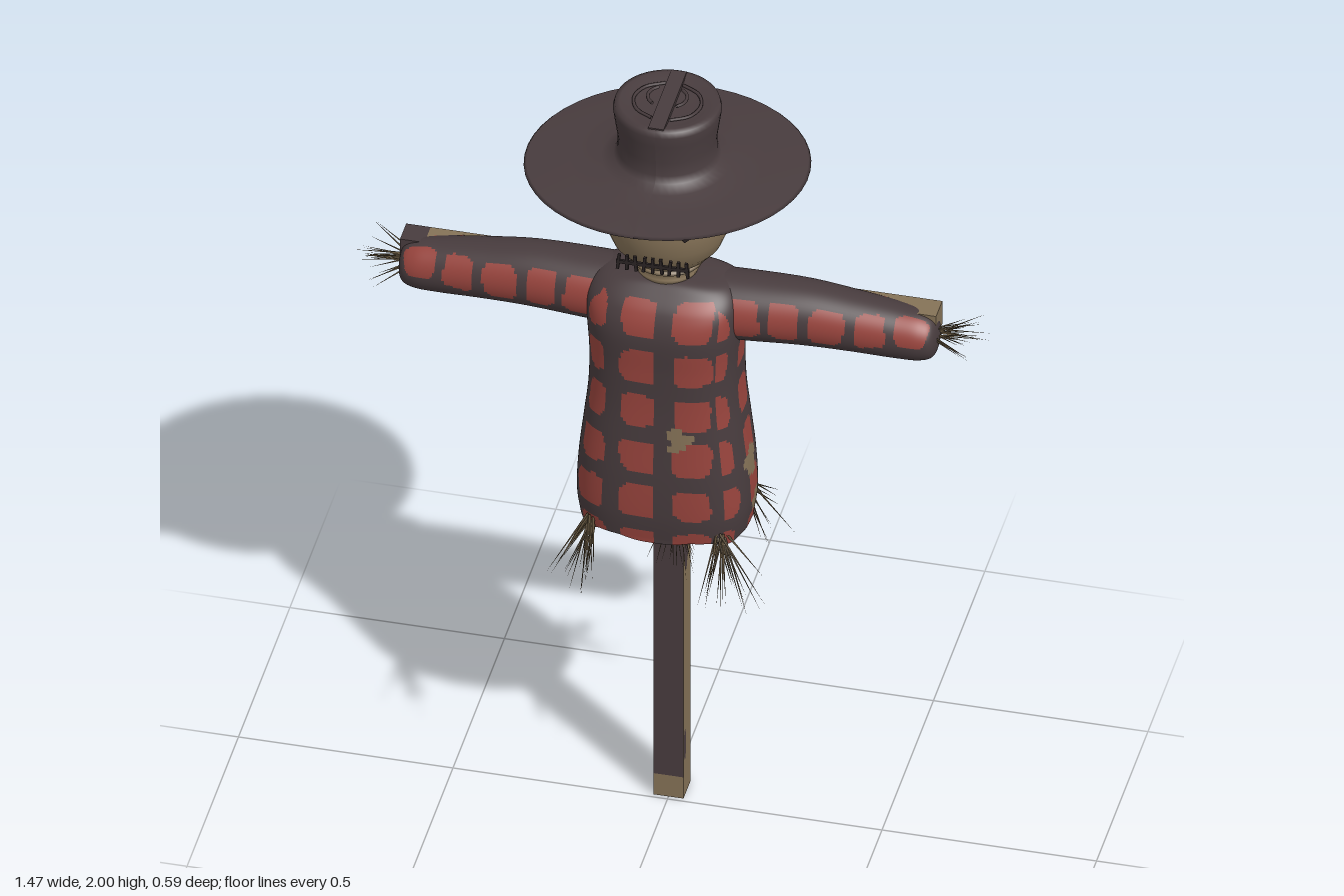
import * as THREE from 'three';
import { mergeGeometries } from 'three/addons/utils/BufferGeometryUtils.js';

const paint = (name, color) => {
  const m = new THREE.MeshStandardMaterial({ color, side: THREE.DoubleSide });
  m.name = name;
  return m;
};

// Small seeded random, 0..1
let seed = 7;
const rand = () => (seed = (seed * 16807) % 2147483647) / 2147483647;

// Smooth sampler through rows of key values
function spline(keys) {
  const curves = keys[0].map((_, c) => new THREE.SplineCurve(keys.map(k => new THREE.Vector2(k[c], 0))));
  return t => curves.map(c => c.getPoint(t).x);
}

// Closed rings joined into a skin; each quad picks a material group by a rule
function loft(rings, sides, point, rule, flip = false) {
  const pos = [], groups = [[], [], []], p = [];
  for (let i = 0; i <= rings; i++) for (let j = 0; j < sides; j++) {
    const v = point(i / rings, j / sides * Math.PI * 2);
    p.push(v);
    pos.push(v.x, v.y, v.z);
  }
  for (let i = 0; i < rings; i++) for (let j = 0; j < sides; j++) {
    const a = i * sides + j, b = i * sides + (j + 1) % sides, c = a + sides, d = b + sides;
    const mid = p[a].clone().add(p[d]).multiplyScalar(0.5);
    const quad = flip ? [a, b, c, b, d, c] : [a, c, b, b, c, d];
    groups[rule(mid, (j + 0.5) / sides * Math.PI * 2)].push(...quad);
  }
  const g = new THREE.BufferGeometry();
  g.setAttribute('position', new THREE.Float32BufferAttribute(pos, 3));
  g.setIndex(groups.flat());
  let start = 0;
  groups.forEach((list, k) => { g.addGroup(start, list.length, k); start += list.length; });
  g.computeVertexNormals();
  return g;
}

// Signed distance to the nearest plaid square centre, relative to half its width
const cell = (v, centre, pitch, half) => (v - centre - pitch * Math.round((v - centre) / pitch)) / half;
const square = (a, b) => a ** 4 + b ** 4 < 1;
// Ragged worn patch
const patch = (a, b, ra, rb) => {
  const ang = Math.atan2(b, a);
  return Math.hypot(a / ra, b / rb) < 0.9 + 0.18 * Math.sin(3 * ang + 1) + 0.14 * Math.sin(5 * ang);
};

export function createModel() {
  seed = 7;
  const dark = paint('dark cloth', 0x483c3e), red = paint('red cloth', 0x98443d);
  const tan = paint('burlap and wood', 0x857257), stitch = paint('stitching', 0x2a2324);
  const straw = paint('straw', 0x6a5a42);
  const model = new THREE.Group();
  const add = (name, geometry, material, x = 0, y = 0, z = 0, parent = model) => {
    const m = new THREE.Mesh(geometry, material);
    m.name = name;
    m.position.set(x, y, z);
    parent.add(m);
    return m;
  };
  const box = (w, h, d) => new THREE.BoxGeometry(w, h, d);
  const lathe = pts => new THREE.LatheGeometry(pts.map(p => new THREE.Vector2(...p)), 48);
  const cloth = [dark, red, tan];

  // Wooden post, painted on its front, with stains on its sides
  add('postFoot', box(0.07, 0.06, 0.07), tan, 0, 0.03, -0.045);
  add('post', box(0.07, 1.5, 0.07), [tan, tan, tan, tan, dark, tan], 0, 0.81, -0.045);
  for (const [side, y, z, h, w] of [[1, 0.74, -0.033, 0.11, 0.022], [1, 0.145, -0.022, 0.045, 0.011], [-1, 0.78, -0.033, 0.07, 0.022]]) {
    const s = add('postStain', new THREE.CircleGeometry(1, 9), dark, side * 0.0355, y, z);
    s.rotation.y = side * Math.PI / 2;
    s.scale.set(w, h, 1);
  }

  // Crossbar with its two ends
  add('crossbar', box(1.14, 0.065, 0.06), tan, 0, 1.437, -0.045);
  add('crossbarLeftEnd', box(0.055, 0.065, 0.06), tan, 0.595, 1.437, -0.045);
  add('crossbarRightEnd', box(0.06, 0.065, 0.06), dark, -0.597, 1.437, -0.045);

  // Shirt body: height, half width, half depth
  const body = spline([[0.83, 0.195, 0.132], [0.9, 0.203, 0.14], [1.0, 0.198, 0.141], [1.1, 0.187, 0.137],
    [1.2, 0.176, 0.133], [1.3, 0.174, 0.134], [1.4, 0.18, 0.137], [1.46, 0.18, 0.117],
    [1.5, 0.15, 0.08], [1.515, 0.08, 0.055], [1.515, 0.02, 0.02]]);
  const round = v => Math.sign(v) * Math.abs(v) ** 0.7;
  add('shirtBody', loft(120, 160, (t, a) => {
    const [y, rx, rz] = body(t);
    const hem = t === 0 ? 0.006 * Math.sin(a * 7) : 0;
    return new THREE.Vector3(rx * round(Math.cos(a)), y + hem, rz * round(Math.sin(a)));
  }, (p, a) => {
    const facesZ = Math.abs(Math.sin(a)) > Math.abs(Math.cos(a));
    if (facesZ && p.z > 0 && patch(p.x - 0.058, p.y - 1.125, 0.03, 0.036)) return 2;
    if (!facesZ && p.x > 0 && (patch(p.z - 0.012, p.y - 1.01, 0.038, 0.045) || patch(p.z + 0.01, p.y - 0.885, 0.03, 0.03))) return 2;
    if (!facesZ && p.x < 0 && (patch(p.z, p.y - 1.15, 0.035, 0.06) || patch(p.z - 0.01, p.y - 0.92, 0.03, 0.045))) return 2;
    if (p.y > 1.49) return 0;
    const wob = 0.003 * Math.sin(p.y * 31 + p.x * 17);
    const across = facesZ ? cell(p.x + wob, -0.036, 0.124, 0.043) : cell(p.z + wob, 0.005, 0.108, 0.032);
    return square(across, cell(p.y + wob, 0.944, 0.1255, 0.044)) ? 1 : 0;
  }), cloth);

  // Sleeves: distance out, centre height, half height, centre depth, half depth
  const sleeve = spline([[0.08, 1.425, 0.082, -0.01, 0.085], [0.2, 1.427, 0.08, -0.015, 0.083],
    [0.32, 1.427, 0.077, -0.02, 0.077], [0.43, 1.42, 0.071, -0.022, 0.071], [0.53, 1.411, 0.066, -0.023, 0.064],
    [0.59, 1.407, 0.06, -0.023, 0.058], [0.62, 1.405, 0.043, -0.023, 0.042], [0.63, 1.405, 0, -0.023, 0]]);
  for (const side of [1, -1]) {
    add(side > 0 ? 'leftSleeve' : 'rightSleeve', loft(100, 72, (t, a) => {
      const [x, cy, ry, cz, rz] = sleeve(t);
      return new THREE.Vector3(side * x, cy + ry * Math.sin(a), cz + rz * Math.cos(a));
    }, (p, a) => {
      // Front and back rows climb towards the cuff; a third row runs underneath
      const x = Math.abs(p.x), tilt = Math.atan2(Math.sin(a), Math.abs(Math.cos(a)));
      const row = 0.18 + 0.42 * THREE.MathUtils.smoothstep(x, 0.4, 0.58);
      const along = cell(x + 0.005 * Math.sin(x * 23 + tilt * 2), 0.575, 0.097, 0.037);
      return square(along, (tilt - row) / 0.62) || square(along, (tilt + Math.PI / 2) / 0.6) ? 1 : 0;
    }, side < 0), cloth);
  }

  // Straw tufts: thin blades fanned around a direction
  const tuft = (name, x, y, z, dir, count, length, spread) => {
    const blades = [];
    for (let i = 0; i < count; i++) {
      const l = length * (0.6 + 0.4 * rand());
      const d = new THREE.Vector3(...dir).normalize();
      d.add(new THREE.Vector3(rand() - 0.5, rand() - 0.5, rand() - 0.5).multiplyScalar(spread)).normalize();
      const g = new THREE.ConeGeometry(0.0035, l, 3).translate(0, l / 2, 0);
      g.applyQuaternion(new THREE.Quaternion().setFromUnitVectors(new THREE.Vector3(0, 1, 0), d));
      blades.push(g.translate((rand() - 0.5) * 0.02, (rand() - 0.5) * 0.02, (rand() - 0.5) * 0.02));
    }
    add(name, mergeGeometries(blades), straw, x, y, z);
  };
  for (const s of [1, -1]) {
    tuft('handStraw', s * 0.59, 1.41, -0.03, [s, 0, 0], 28, 0.15, 1.0);
    for (const f of [1, -1]) tuft('hemStraw', s * 0.15, 0.855, f * 0.105, [s * 0.2, -1, f * 0.35], 20, 0.2, 0.85);
  }
  tuft('hemStraw', 0.02, 0.86, 0.01, [0.05, -1, 0.05], 20, 0.2, 0.7);

  // Sack head with gathered neck
  const head = lathe([[0.05, 1.5], [0.068, 1.51], [0.074, 1.525], [0.06, 1.535], [0.084, 1.545], [0.084, 1.553],
    [0.07, 1.558], [0.1, 1.57], [0.125, 1.6], [0.141, 1.64], [0.148, 1.685], [0.145, 1.73], [0.133, 1.78],
    [0.11, 1.815], [0.08, 1.83]]);
  add('head', head, tan).scale.z = 0.95;
  add('hatLining', lathe([[0.132, 1.79], [0.124, 1.81]]), dark).scale.z = 0.95;

  // Stitched face
  const face = new THREE.Group();
  face.name = 'face';
  model.add(face);
  for (const x of [-0.054, 0.053]) for (const r of [1, -1])
    add('eyeStitch', box(0.074, 0.015, 0.009), stitch, x, 1.728, 0.138, face).rotation.z = r * Math.PI / 4;
  add('mouthSeam', box(0.17, 0.009, 0.006), stitch, 0, 1.62, 0.143, face);
  for (let i = 0; i < 9; i++)
    add('mouthStitch', box(0.007, 0.04, 0.007), stitch, -0.08 + i * 0.02, 1.62, 0.143, face).rotation.z = (i % 3 - 1) * 0.1;

  // Wide hat, its brim narrower front to back and drawn out along one diagonal
  const hat = lathe([[0.1, 1.808], [0.22, 1.805], [0.315, 1.803], [0.324, 1.808], [0.318, 1.814], [0.22, 1.818],
    [0.15, 1.826], [0.122, 1.838], [0.114, 1.855], [0.113, 1.89], [0.12, 1.94], [0.124, 1.968], [0.12, 1.982],
    [0.108, 1.985], [0.09, 1.979], [0.06, 1.976], [0, 1.976]]);
  const hp = hat.attributes.position;
  for (let i = 0; i < hp.count; i++) {
    const x = hp.getX(i), z = hp.getZ(i), k = THREE.MathUtils.smoothstep(Math.hypot(x, z), 0.12, 0.3);
    hp.setX(i, x - 0.025 * k * z);
    hp.setZ(i, z * (1 - 0.085 * k) - 0.025 * k * x);
  }
  hat.computeVertexNormals();
  add('hat', hat, dark);

  // Creased crown top: ridge and curved folds
  add('crownRidge', box(0.036, 0.012, 0.225), dark, 0, 1.981, 0);
  for (const s of [1, -1]) {
    const arc = (r, from, to, y) => new THREE.CatmullRomCurve3([0, 0.25, 0.5, 0.75, 1].map(k => {
      const a = from + (to - from) * k;
      return new THREE.Vector3(s * r * Math.cos(a), y, r * 0.9 * Math.sin(a));
    }));
    add('crownFold', new THREE.TubeGeometry(arc(0.078, -1.3, 1.3, 1.982), 20, 0.004, 6), dark);
    add('crownInnerFold', new THREE.TubeGeometry(arc(0.045, -0.9, 0.9, 1.996), 14, 0.004, 6), dark);
  }
  return model;
}
